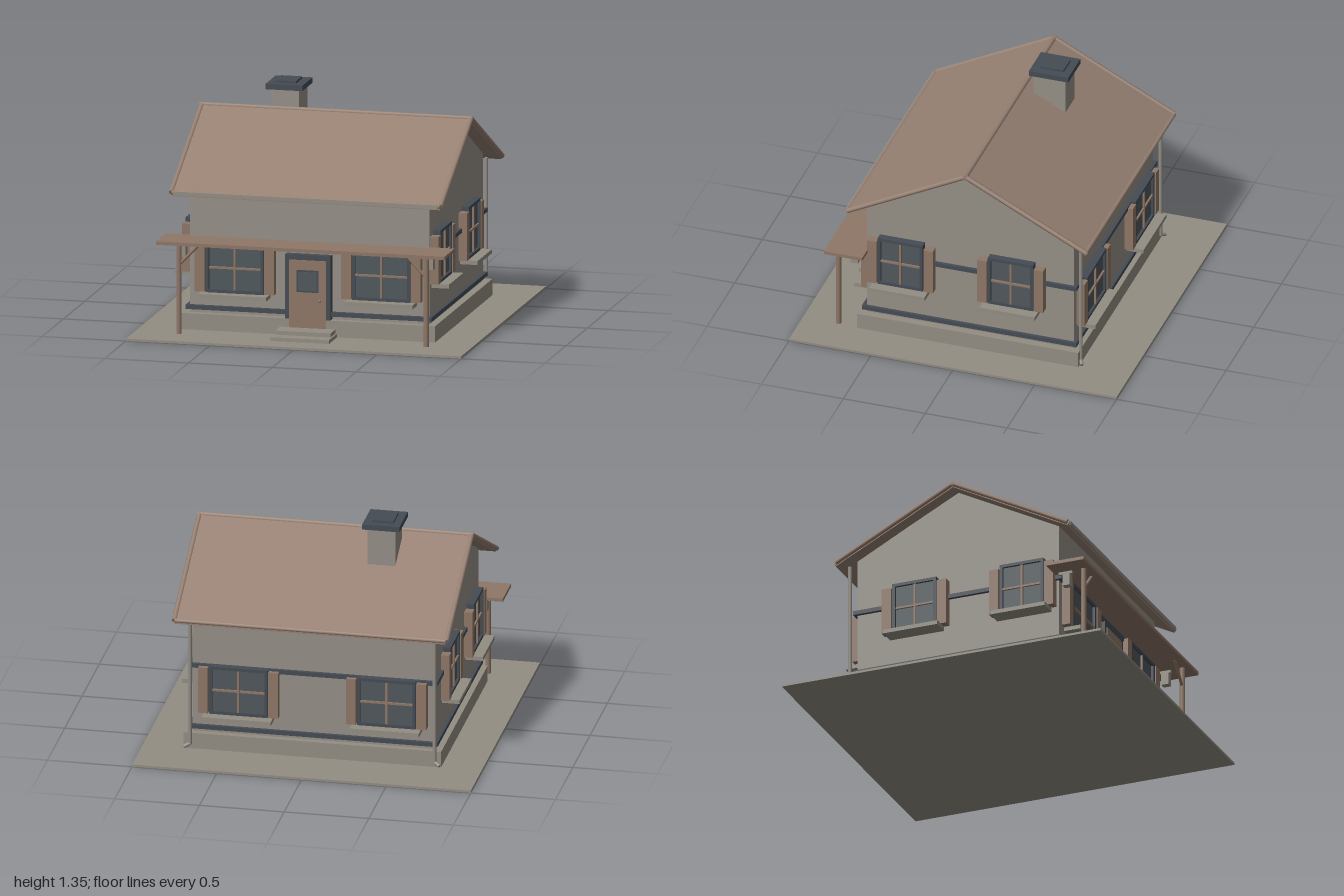
import * as THREE from 'three';

const mat = (name, color) => Object.assign(new THREE.MeshStandardMaterial({ color }), { name });
const M = {
  wall: mat('warm grey plaster', 0x959087),
  stone: mat('grey stone', 0x938e83),
  roof: mat('roof brown', 0x968072),
  wood: mat('wood brown', 0x8f7767),
  dark: mat('slate trim', 0x454c54),
  glass: mat('window glass', 0x50585d),
};

function add(parent, name, geo, material) {
  const mesh = new THREE.Mesh(geo, material);
  mesh.name = name;
  parent.add(mesh);
  return mesh;
}

// Box given by its extents on each axis
function box(parent, name, material, x0, x1, y0, y1, z0, z1) {
  const m = add(parent, name, new THREE.BoxGeometry(x1 - x0, y1 - y0, z1 - z0), material);
  m.position.set((x0 + x1) / 2, (y0 + y1) / 2, (z0 + z1) / 2);
  return m;
}

// Round rod between two points
function rod(parent, name, material, a, b, r, sides = 8) {
  const p = new THREE.Vector3(...a), q = new THREE.Vector3(...b), d = q.clone().sub(p);
  const m = add(parent, name, new THREE.CylinderGeometry(r, r, d.length(), sides), material);
  m.position.copy(p).add(q).multiplyScalar(0.5);
  m.quaternion.setFromUnitVectors(new THREE.Vector3(0, 1, 0), d.normalize());
  return m;
}

// Extrude a (z, y) outline along x, centred
function prism(parent, name, material, pts, width) {
  const shape = new THREE.Shape(pts.map(([z, y]) => new THREE.Vector2(-z, y)));
  const geo = new THREE.ExtrudeGeometry(shape, { depth: width, bevelEnabled: false });
  geo.translate(0, 0, -width / 2).rotateY(Math.PI / 2);
  return add(parent, name, geo, material);
}

// Window facing +z with its bottom centre at the origin on the wall plane
function makeWindow(w, h, shutterH) {
  const g = new THREE.Group();
  g.name = 'window';
  const f = 0.018, hw = w / 2;
  for (const s of [-1, 1]) {
    const c = s * (hw - f / 2);
    box(g, 'windowFrameSide', M.dark, c - f / 2, c + f / 2, 0, h, 0, 0.045);
    const k = s * (hw + 0.035);
    box(g, 'shutter', M.wood, k - 0.029, k + 0.029, 0.003, shutterH, 0, 0.05);
  }
  box(g, 'windowFrameTop', M.dark, -hw + f, hw - f, h - f, h, 0, 0.045);
  box(g, 'windowFrameBottom', M.dark, -hw + f, hw - f, 0, f, 0, 0.045);
  box(g, 'pane', M.glass, -hw + f, hw - f, f, h - f, 0, 0.03);
  box(g, 'verticalMullion', M.wood, -0.006, 0.006, f, h - f, 0.03, 0.042);
  box(g, 'horizontalMullion', M.wood, -hw + f, hw - f, h / 2 - 0.006, h / 2 + 0.006, 0.03, 0.041);
  box(g, 'windowSill', M.stone, -hw - 0.032, hw + 0.032, -0.024, 0, 0, 0.105);
  return g;
}

export function createModel() {
  const house = new THREE.Group();
  house.name = 'house';
  const WX = 0.715, ZF = 0.62, ZB = -0.645, ZR = -0.01;

  // Ground slab, foundation and walls
  box(house, 'ground', M.stone, -1, 1, 0, 0.014, -1, 1);
  box(house, 'foundation', M.stone, -0.76, 0.76, 0.014, 0.11, -0.685, 0.665);
  prism(house, 'walls', M.wall, [[ZF, 0.1], [ZF, 0.86], [ZR, 1.185], [ZB, 0.855], [ZB, 0.1]], WX * 2);

  // Trim bands around the walls
  for (const [name, y0, y1] of [['lowerBand', 0.13, 0.155], ['upperBand', 0.51, 0.535]])
    box(house, name, M.dark, -0.735, 0.735, y0, y1, ZB - 0.02, ZF + 0.025);

  // Gable roof with rounded edge trim
  const eaveF = [0.71, 0.835], eaveB = [-0.745, 0.835], ridge = [ZR, 1.208], t = 0.027;
  prism(house, 'roof', M.roof, [eaveF, ridge, eaveB, [eaveB[0], eaveB[1] - t],
    [ZR, ridge[1] - t], [eaveF[0], eaveF[1] - t]], 1.6);
  for (const [z, y] of [eaveF, eaveB]) {
    rod(house, 'eaveTrim', M.roof, [-0.8, y - 0.006, z], [0.8, y - 0.006, z], 0.012);
    for (const x of [-0.803, 0.803])
      rod(house, 'rakeTrim', M.roof, [x, y - 0.006, z], [x, ridge[1] - 0.006, ZR], 0.015);
  }
  rod(house, 'ridgeTrim', M.roof, [-0.815, 1.201, ZR], [0.815, 1.201, ZR], 0.015);
  box(house, 'frontFascia', M.stone, -0.79, 0.79, 0.815, 0.838, 0.715, 0.724);

  // Chimney
  box(house, 'chimney', M.wall, -0.405, -0.24, 1.0, 1.3, -0.27, -0.075);
  box(house, 'chimneyCap', M.dark, -0.435, -0.215, 1.3, 1.332, -0.295, -0.055);
  box(house, 'chimneyTop', M.dark, -0.39, -0.265, 1.332, 1.345, -0.25, -0.105);

  // Windows on all four sides
  const place = (w, x, y, z, turn) => {
    w.position.set(x, y, z);
    w.rotation.y = turn;
    house.add(w);
  };
  for (const s of [-1, 1]) {
    place(makeWindow(0.345, 0.295, 0.285), s * 0.437, 0.24, ZF, 0);
    place(makeWindow(0.345, 0.295, 0.285), s * 0.437, 0.24, ZB, Math.PI);
    for (const z of [0.403, -0.27])
      place(makeWindow(0.275, 0.31, 0.285), s * WX, 0.34, z, s * Math.PI / 2);
  }

  // Front door
  for (const s of [-1, 1])
    box(house, 'doorFrameSide', M.dark, s * 0.122 - 0.013, s * 0.122 + 0.013, 0.06, 0.49, ZF, 0.664);
  box(house, 'doorFrameTop', M.dark, -0.109, 0.109, 0.46, 0.49, ZF, 0.664);
  box(house, 'door', M.wood, -0.11, 0.11, 0.06, 0.46, ZF, 0.67);
  box(house, 'doorWindowFrame', M.dark, -0.066, 0.066, 0.272, 0.402, 0.67, 0.675);
  box(house, 'doorWindow', M.glass, -0.056, 0.056, 0.282, 0.392, 0.675, 0.678);
  const knob = add(house, 'doorKnob', new THREE.SphereGeometry(0.009, 10, 8), M.wood);
  knob.position.set(0.075, 0.225, 0.678);

  // Door steps
  box(house, 'lowerStep', M.stone, -0.175, 0.175, 0.014, 0.036, 0.66, 0.855);
  box(house, 'upperStep', M.stone, -0.165, 0.165, 0.036, 0.06, 0.66, 0.78);

  // Porch canopy with posts and braces
  box(house, 'porchRoof', M.wood, -0.863, 0.86, 0.542, 0.562, 0.6, 0.835);
  for (const s of [-1, 1]) {
    const x = s * 0.738;
    rod(house, 'porchPost', M.wood, [x, 0.014, 0.785], [x, 0.545, 0.785], 0.016, 12);
    rod(house, 'porchBrace', M.wood, [x, 0.42, 0.785], [s * 0.62, 0.545, 0.785], 0.009);
    box(house, 'cornerLantern', M.stone, x - 0.02, x + 0.02, 0.45, 0.525, 0.66, 0.705);
    box(house, 'lanternArm', M.stone, x - 0.01, x + 0.01, 0.525, 0.545, 0.63, 0.715);
    // Downpipe at the back corner
    rod(house, 'downpipe', M.wall, [s * 0.722, 0.04, -0.688], [s * 0.722, 0.825, -0.688], 0.011, 10);
    rod(house, 'downpipeOutlet', M.wall, [s * 0.722, 0.045, -0.688], [s * 0.755, 0.03, -0.705], 0.011, 10);
  }
  return house;
}
